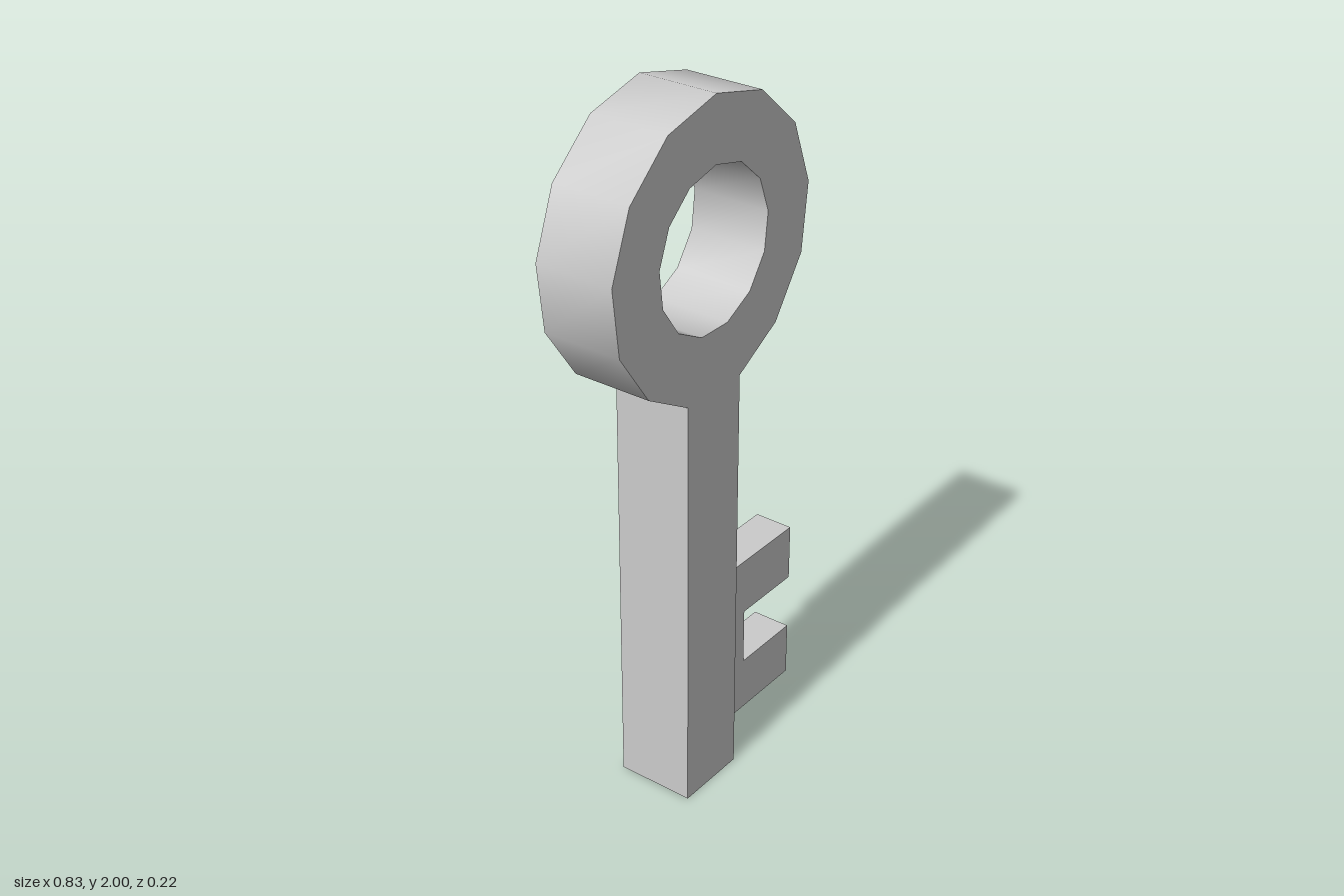
import * as THREE from 'three';
import { toCreasedNormals } from 'three/addons/utils/BufferGeometryUtils.js';

const CX = -0.025; // centre line of bow and shaft
const CY = 1.607; // centre height of the bow
const SIDES = 13;

// Corner i of a 13-sided ring, clockwise from the top
function corner(i, radius) {
  const a = (i / SIDES) * Math.PI * 2;
  return new THREE.Vector2(CX + radius * Math.sin(a), CY + radius * Math.cos(a));
}

// Flat plate extruded evenly about z = 0, smooth only along the round rim
function plate(name, shape, depth, material) {
  const geometry = new THREE.ExtrudeGeometry(shape, { depth, bevelEnabled: false });
  geometry.translate(0, 0, -depth / 2);
  const mesh = new THREE.Mesh(toCreasedNormals(geometry, 0.65), material);
  mesh.name = name;
  return mesh;
}

export function createModel() {
  const key = new THREE.Group();
  key.name = 'key';
  const material = new THREE.MeshStandardMaterial({ color: 0xcccccc });

  // Bow and shaft in one outline: the ring opens at its lowest side into the shaft
  const half = 0.107;
  const neck = 1.225;
  const outline = [];
  for (let i = -5; i <= 5; i++) outline.push(corner(i, 0.393));
  outline.push(
    new THREE.Vector2(CX + half, neck),
    new THREE.Vector2(CX + half, 0),
    new THREE.Vector2(CX - half, 0),
    new THREE.Vector2(CX - half, neck)
  );
  const body = new THREE.Shape(outline);

  // Finger hole in the bow, wound against the outline so its wall faces inward
  const hole = [];
  for (let i = 0; i < SIDES; i++) hole.push(corner(-i, 0.218));
  body.holes.push(new THREE.Path(hole));
  key.add(plate('bowAndShaft', body, 0.225, material));

  // Bit with two teeth, thinner than the shaft
  const bit = new THREE.Shape([
    [0.082, 0.087], [0.415, 0.087], [0.415, 0.247], [0.2, 0.247],
    [0.2, 0.415], [0.415, 0.415], [0.415, 0.582], [0.082, 0.582],
  ].map(([x, y]) => new THREE.Vector2(x, y)));
  key.add(plate('bit', bit, 0.113, material));

  return key;
}
